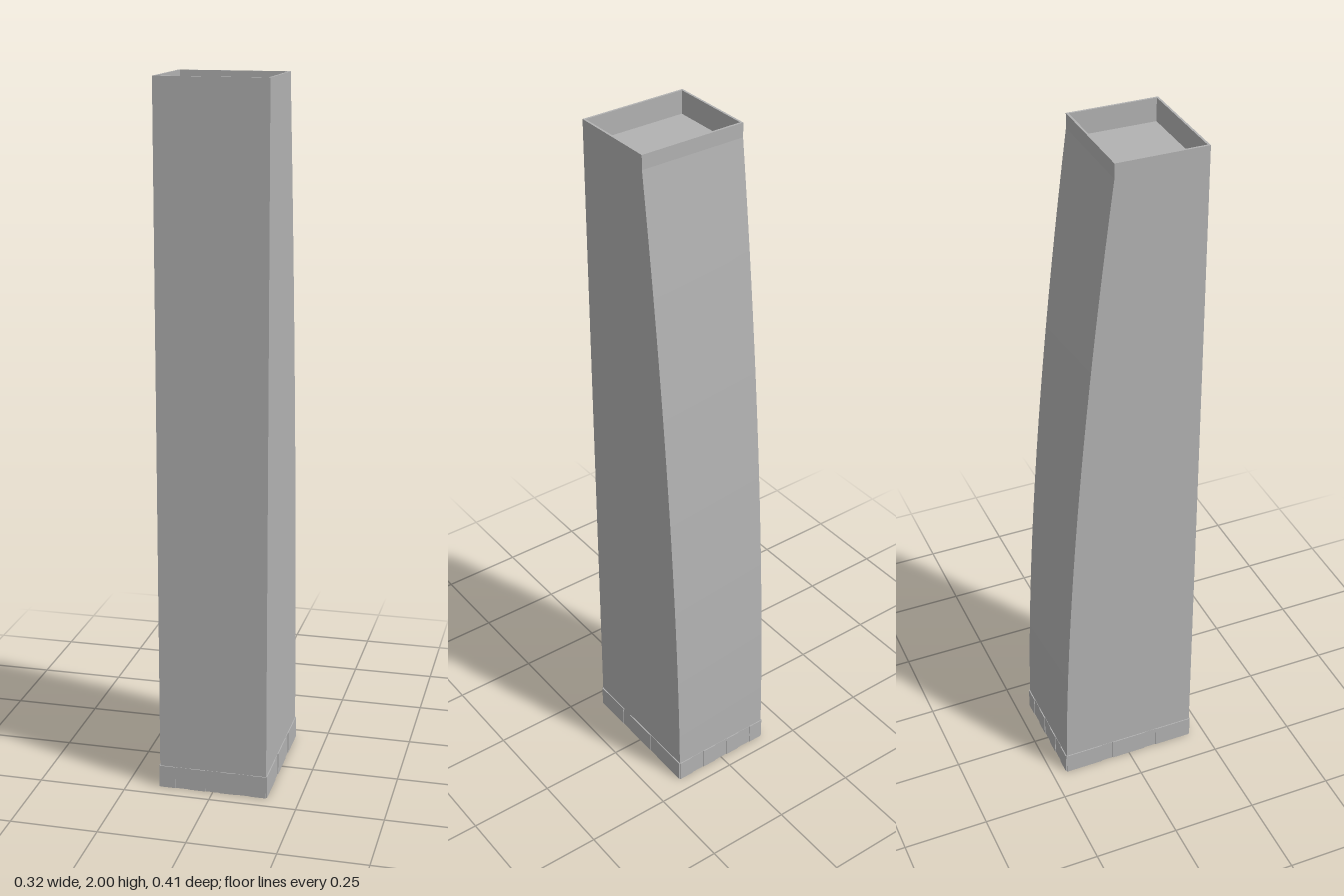
import * as THREE from 'three';
import { toCreasedNormals } from 'three/addons/utils/BufferGeometryUtils.js';

const HALF_W = 0.155, FRONT = 0.203, BACK = -0.205, TOP_BACK = -0.052;
const HEIGHT = 2, CURVE_TOP = 1.96, ROOF_Y = 1.935, RIM = 0.006;

// Back face: upright at the foot, leaning ever further forward, then a short upright strip
const backZ = (y) =>
  BACK + (TOP_BACK - BACK) * Math.pow(Math.min(y / CURVE_TOP, 1), 1.7);

// Joins rectangular rings { y, w, front, back } into an outward-facing skin
function loft(rings) {
  const pos = [], index = [];
  for (const { y, w, front, back } of rings) {
    pos.push(-w, y, front, w, y, front, w, y, back, -w, y, back);
  }
  for (let r = 0; r < rings.length - 1; r++) {
    for (let i = 0; i < 4; i++) {
      const a = r * 4 + i, b = r * 4 + ((i + 1) % 4);
      index.push(a, b, b + 4, a, b + 4, a + 4);
    }
  }
  const g = new THREE.BufferGeometry();
  g.setAttribute('position', new THREE.Float32BufferAttribute(pos, 3));
  g.setIndex(index);
  return toCreasedNormals(g, 0.1);
}

export function createModel() {
  const model = new THREE.Group();
  model.name = 'tower';
  const concrete = new THREE.MeshStandardMaterial({ color: 0xb2b2b2, side: THREE.DoubleSide });
  concrete.name = 'grey concrete';

  const add = (name, geometry, parent = model) => {
    const mesh = new THREE.Mesh(geometry, concrete);
    mesh.name = name;
    parent.add(mesh);
    return mesh;
  };

  // Hollow shaft, open at the foot
  const rings = [];
  const steps = 20;
  for (let i = 0; i <= steps; i++) {
    const y = (CURVE_TOP * i) / steps;
    rings.push({ y, w: HALF_W, front: FRONT, back: backZ(y) });
  }
  rings.push({ y: HEIGHT, w: HALF_W, front: FRONT, back: TOP_BACK });
  add('shaft', loft(rings));

  // Parapet: narrow rim and inner walls down to the roof
  const inner = { w: HALF_W - RIM, front: FRONT - RIM, back: TOP_BACK + RIM };
  add('parapet', loft([
    { y: HEIGHT, w: HALF_W, front: FRONT, back: TOP_BACK },
    { y: HEIGHT, ...inner },
    { y: ROOF_Y, ...inner },
  ]));

  // Sunken flat roof
  const roof = add('roof', new THREE.PlaneGeometry(inner.w * 2, inner.front - inner.back).rotateX(-Math.PI / 2));
  roof.position.set(0, ROOF_Y, (inner.front + inner.back) / 2);

  // Thin base band with slightly raised piers on all four sides
  const base = new THREE.Group();
  base.name = 'base';
  model.add(base);
  const bandH = 0.065, depth = FRONT - BACK, midZ = (FRONT + BACK) / 2;
  const piersWide = [0, 2, 4, 6].map((i) => [i / 7, (i + 1) / 7]);
  const piersDeep = [[0, 0.28], [0.37, 0.63], [0.72, 1]];

  const plate = (name, length, from, to, thick, place) => {
    const g = new THREE.BoxGeometry((to - from) * length, bandH, thick);
    g.translate(((from + to) / 2 - 0.5) * length, bandH / 2, thick / 2);
    place(add(name, g, base));
  };
  for (const s of [1, -1]) {
    const faceZ = (m) => {
      m.rotation.y = s > 0 ? 0 : Math.PI;
      m.position.z = s > 0 ? FRONT : BACK;
    };
    const faceX = (m) => {
      m.rotation.y = (s * Math.PI) / 2;
      m.position.set(s * HALF_W, 0, midZ);
    };
    plate('baseBand', HALF_W * 2, 0, 1, 0.001, faceZ);
    plate('baseBand', depth, 0, 1, 0.001, faceX);
    for (const [a, b] of piersWide) plate('basePier', HALF_W * 2, a, b, 0.003, faceZ);
    for (const [a, b] of piersDeep) plate('basePier', depth, a, b, 0.003, faceX);
  }
  return model;
}
